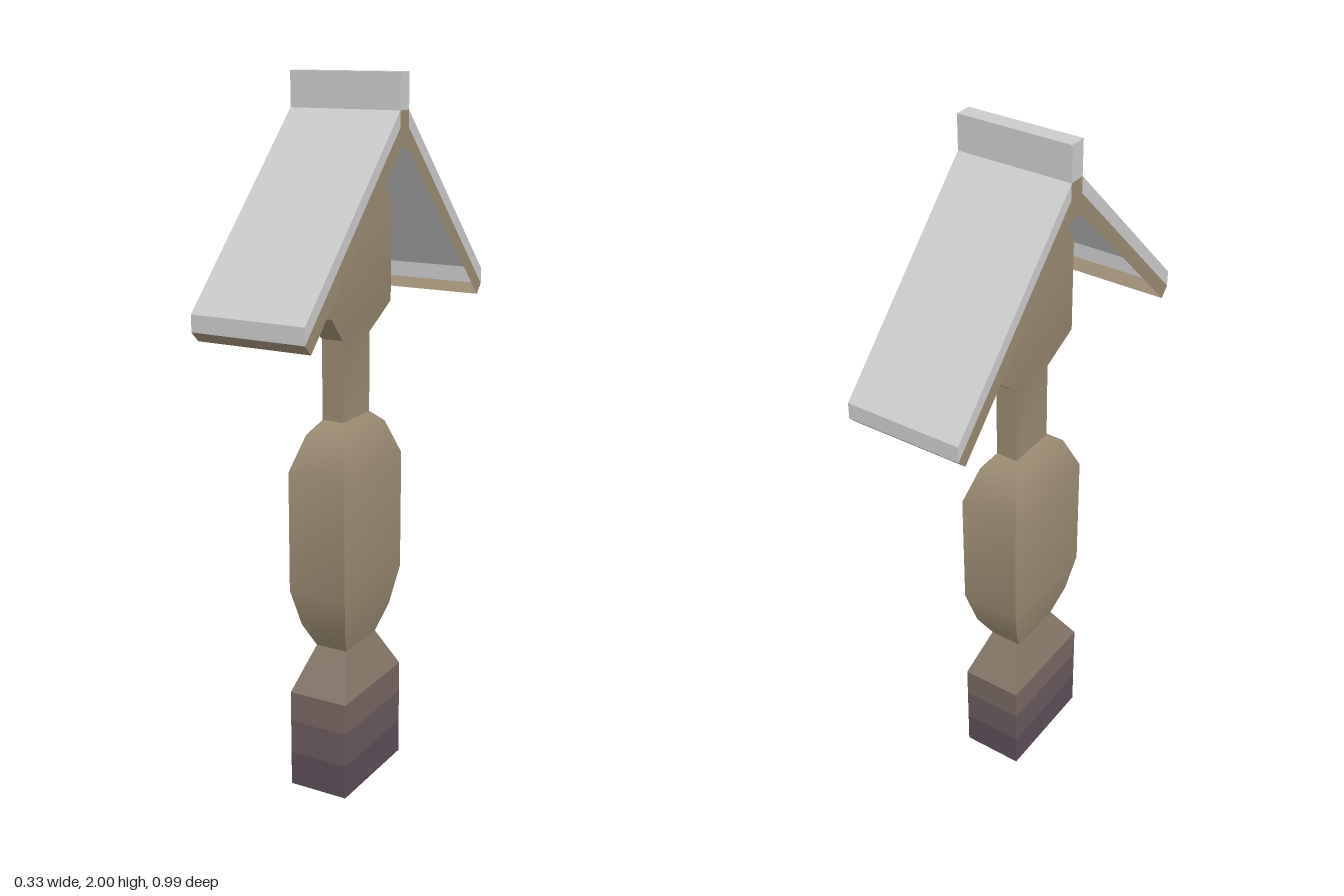
import * as THREE from 'three';
import { toCreasedNormals } from 'three/addons/utils/BufferGeometryUtils.js';

const material = (color) => new THREE.MeshStandardMaterial({ color, side: THREE.DoubleSide });
const GREY = material(0xcccccc);
const TAN = material(0x9a8a72);

// Rectangular tube through levels [y, half width x, half depth z], open below
function loft(levels, capTop) {
  const pos = [];
  const cx = -0.009;
  const quad = (a, b, c, d) => pos.push(...a, ...b, ...c, ...a, ...c, ...d);
  const ring = ([y, hx, hz]) => [[1, 1], [1, -1], [-1, -1], [-1, 1]].map(([sx, sz]) => [cx + sx * hx, y, sz * hz]);
  for (let i = 0; i < levels.length - 1; i++) {
    const lo = ring(levels[i]), hi = ring(levels[i + 1]);
    for (let j = 0; j < 4; j++) {
      const k = (j + 1) % 4;
      quad(lo[j], lo[k], hi[k], hi[j]);
    }
  }
  if (capTop) quad(...ring(levels[levels.length - 1]));
  const g = new THREE.BufferGeometry();
  g.setAttribute('position', new THREE.Float32BufferAttribute(pos, 3));
  return toCreasedNormals(g, 0.6);
}

function add(parent, geometry, mat, name) {
  const mesh = new THREE.Mesh(geometry, mat);
  mesh.name = name;
  parent.add(mesh);
  return mesh;
}

const W = 0.163; // half width of the roof

// Flat sheet across the roof, from [z, y] down to [z, y]
function sheet([z0, y0], [z1, y1]) {
  const g = new THREE.BufferGeometry();
  g.setAttribute('position', new THREE.Float32BufferAttribute(
    [-W, y1, z1, W, y1, z1, W, y0, z0, -W, y1, z1, W, y0, z0, -W, y0, z0], 3));
  g.computeVertexNormals();
  return g;
}

export function createModel() {
  const model = new THREE.Group();
  model.name = 'roofedPost';

  // Post, darkening towards the ground
  const post = new THREE.Group();
  post.name = 'post';
  model.add(post);
  const sections = [
    ['baseBottom', 0x5d4d58, [[0, 0.089, 0.163], [0.1, 0.089, 0.163]]],
    ['baseMiddle', 0x69595c, [[0.1, 0.089, 0.163], [0.2, 0.089, 0.163]]],
    ['baseTop', 0x776762, [[0.2, 0.089, 0.163], [0.29, 0.089, 0.163]]],
    ['baseTaper', 0x867668, [[0.29, 0.089, 0.163], [0.415, 0.048, 0.085]]],
  ];
  for (const [name, color, levels] of sections) add(post, loft(levels), material(color), name);
  add(post, loft([
    [0.415, 0.048, 0.085], [0.49, 0.07, 0.13], [0.6, 0.088, 0.163], [0.945, 0.088, 0.163],
    [1.045, 0.058, 0.118], [1.08, 0.032, 0.074], [1.305, 0.032, 0.074],
    [1.38, 0.05, 0.163], [1.655, 0.05, 0.163], [1.81, 0.05, 0.018],
  ], true), TAN, 'bodyNeckAndHead');

  // Roof: an open shell, the slope and eave mirrored front to back
  const roof = new THREE.Group();
  roof.name = 'roof';
  model.add(roof);
  const ridge = [0.024, 1.905], ridgeLow = [0.024, 1.861];
  const eave = [0.497, 1.432], eaveLow = [0.497, 1.387], lip = [0.47, 1.36];
  for (const s of [1, -1]) {
    const half = new THREE.Group();
    half.name = s > 0 ? 'frontRoofHalf' : 'backRoofHalf';
    half.scale.z = s;
    add(half, sheet(ridge, eave), GREY, 'roofSlope');
    add(half, sheet(eave, eaveLow), GREY, 'eaveEdge');
    add(half, sheet(eaveLow, lip), TAN, 'eaveLip');
    roof.add(half);
  }

  // Gable ends: grey band above a tan chevron
  const mirror = (pts) => pts.map(([z, y]) => [-z, y]);
  const shape = (pts) => new THREE.Shape(pts.map(([z, y]) => new THREE.Vector2(z, y)));
  const band = [ridge, eave, eaveLow, ridgeLow];
  const outer = [ridge, ridgeLow, eaveLow, lip, [0.02, 1.81]];
  const chevron = [...outer, ...mirror(outer).reverse()];
  for (const s of [1, -1]) {
    for (const [shapes, mat, name] of [
      [[shape(band), shape(mirror(band))], GREY, 'gableBand'],
      [[shape(chevron)], TAN, 'gableBoard'],
    ]) {
      const end = add(roof, new THREE.ShapeGeometry(shapes), mat, name);
      end.rotation.y = s * Math.PI / 2;
      end.position.x = s * W;
    }
  }

  // Ridge beam
  const beam = add(roof, new THREE.BoxGeometry(2 * W, 0.095, 0.048), GREY, 'ridgeBeam');
  beam.position.y = 1.9525;

  return model;
}
